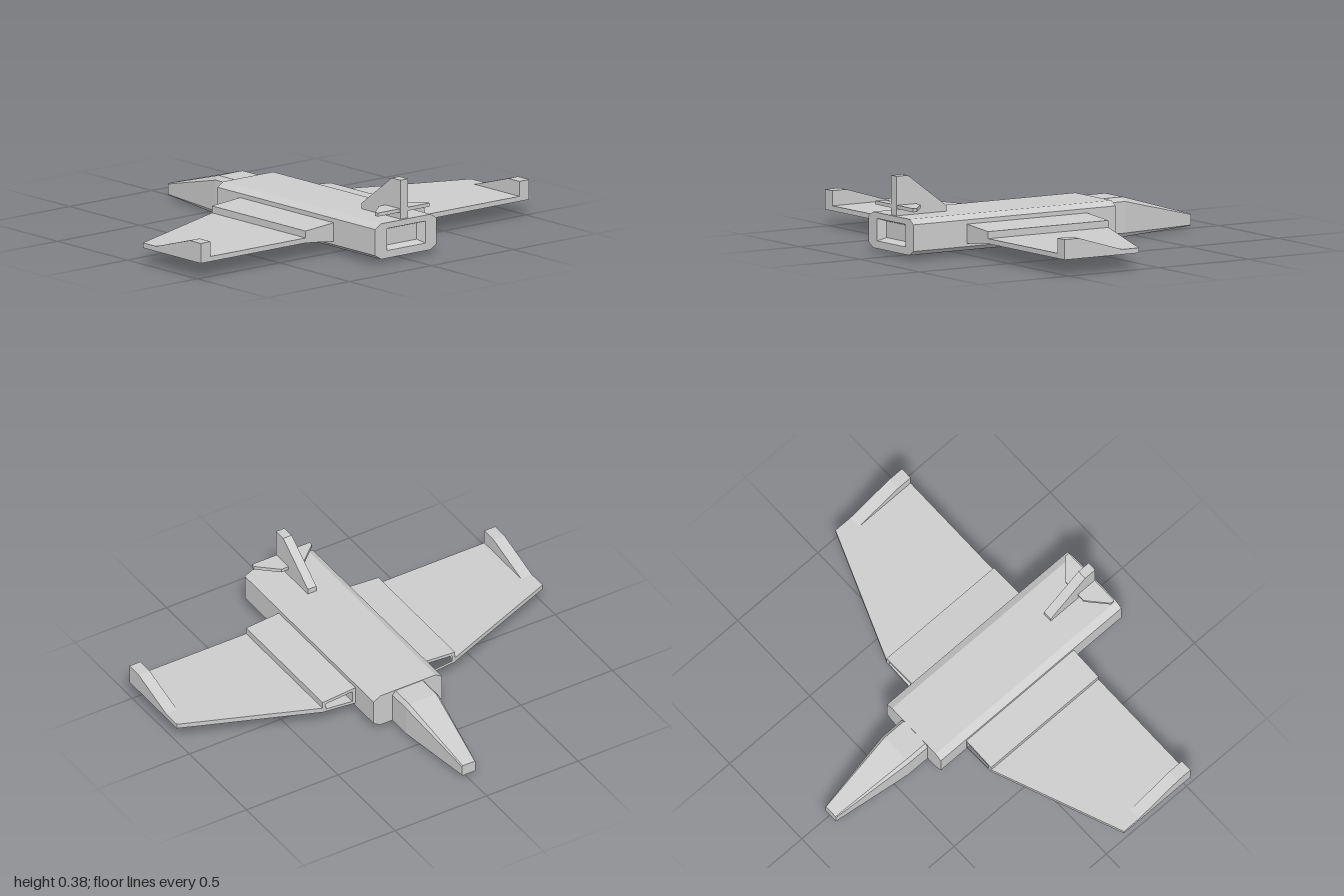
import * as THREE from 'three';

const material = new THREE.MeshStandardMaterial({ color: 0xcccccc, flatShading: true });

function toShape(points, hole) {
  const shape = new THREE.Shape(points.map(([a, b]) => new THREE.Vector2(a, b)));
  if (hole) shape.holes.push(new THREE.Path(hole.map(([a, b]) => new THREE.Vector2(a, b))));
  return shape;
}

function extrude(points, depth, hole) {
  return new THREE.ExtrudeGeometry(toShape(points, hole), { depth, bevelEnabled: false });
}

// Section in x, y pushed from z0 to z1
const alongZ = (points, z0, z1, hole) => extrude(points, z1 - z0, hole).translate(0, 0, z0);

// Plan in x, z raised from y0 to y1
const alongY = (points, y0, y1) =>
  extrude(points.map(([x, z]) => [x, -z]), y1 - y0).rotateX(-Math.PI / 2).translate(0, y0, 0);

// Side profile in z, y spread from x0 to x1
const alongX = (points, x0, x1) => extrude(points, x1 - x0).rotateY(-Math.PI / 2).translate(x1, 0, 0);

// Joins matching counter-clockwise sections [points, z] with flat faces and end caps
function loft(sections, capStart = true) {
  const pos = [];
  const rings = sections.map(([pts, z]) => pts.map(([x, y]) => [x, y, z]));
  const tri = (a, b, c) => pos.push(...a, ...b, ...c);
  const n = rings[0].length;
  for (let r = 0; r < rings.length - 1; r++) {
    for (let i = 0; i < n; i++) {
      const j = (i + 1) % n;
      const [a, b] = [rings[r], rings[r + 1]];
      tri(a[i], a[j], b[j]);
      tri(a[i], b[j], b[i]);
    }
  }
  const first = rings[0], last = rings[rings.length - 1];
  for (let i = 1; i < n - 1; i++) {
    if (capStart) tri(first[0], first[i + 1], first[i]);
    tri(last[0], last[i], last[i + 1]);
  }
  const geometry = new THREE.BufferGeometry();
  geometry.setAttribute('position', new THREE.Float32BufferAttribute(pos, 3));
  geometry.computeVertexNormals();
  return geometry;
}

const rect = (x0, x1, y0, y1) => [[x0, y0], [x1, y0], [x1, y1], [x0, y1]];

// Rectangle with cut corners, counter-clockwise
const octagon = (cx, w, y0, y1, cx0, cy0) => [
  [cx - w + cx0, y0], [cx + w - cx0, y0], [cx + w, y0 + cy0], [cx + w, y1 - cy0],
  [cx + w - cx0, y1], [cx - w + cx0, y1], [cx - w, y1 - cy0], [cx - w, y0 + cy0],
];

export function createModel() {
  const model = new THREE.Group();
  const add = (name, geometry) => {
    const mesh = new THREE.Mesh(geometry, material);
    mesh.name = name;
    model.add(mesh);
  };

  // Fuselage with a recessed exhaust in its end face
  const body = octagon(-0.004, 0.187, 0.024, 0.193, 0.036, 0.022);
  const opening = rect(-0.12, 0.115, 0.06, 0.165);
  add('fuselage', alongZ(body, -0.305, 0.78));
  add('exhaustFrame', alongZ(body, 0.78, 0.822, opening));
  add('exhaustRecess', loft([[opening, 0.822], [rect(-0.1, 0.095, 0.075, 0.152), 0.783]], false));

  // Neck and tapering nose
  const neck = octagon(-0.01, 0.09, 0.002, 0.19, 0.016, 0.02);
  add('neck', alongZ(neck, -0.425, -0.3));
  add('nose', loft([
    [octagon(-0.01, 0.037, 0.018, 0.075, 0.004, 0.004), -0.828],
    [neck, -0.425],
  ]));

  for (const s of [1, -1]) {
    const side = s > 0 ? 'left' : 'right';

    // Thick wing root, hollow at the leading edge as an intake
    const root = [[0.17, 0.06], [0.362, 0.08], [0.362, 0.137], [0.17, 0.152]].map(([x, y]) => [s * x, y]);
    const intake = [[0.2, 0.078], [0.345, 0.093], [0.345, 0.122], [0.2, 0.134]].map(([x, y]) => [s * x, y]);
    add(side + 'WingRoot', alongZ(root, -0.03, 0.525));
    add(side + 'Intake', alongZ(root, -0.145, -0.03, intake));

    // Thin swept wing panel
    const plan = [[0.36, -0.145], [1, 0.11], [1, 0.525], [0.36, 0.525]].map(([x, z]) => [s * x, z]);
    add(side + 'Wing', alongY(plan, 0.08, 0.104));

    // Wing tip fin
    const tip = [[0.19, 0.1], [0.525, 0.1], [0.525, 0.175], [0.445, 0.175]];
    add(side + 'Winglet', alongX(tip, s > 0 ? 0.94 : -1, s > 0 ? 1 : -0.94));
  }

  // Tail fin and small tailplane
  add('tailFin', alongX([[0.53, 0.18], [0.808, 0.18], [0.808, 0.378], [0.745, 0.378], [0.53, 0.22]], -0.025, 0.021));
  add('tailplane', alongY([
    [-0.065, 0.7], [0.06, 0.7], [0.155, 0.785], [0.155, 0.805], [-0.16, 0.805], [-0.16, 0.785],
  ], 0.225, 0.242));

  return model;
}
